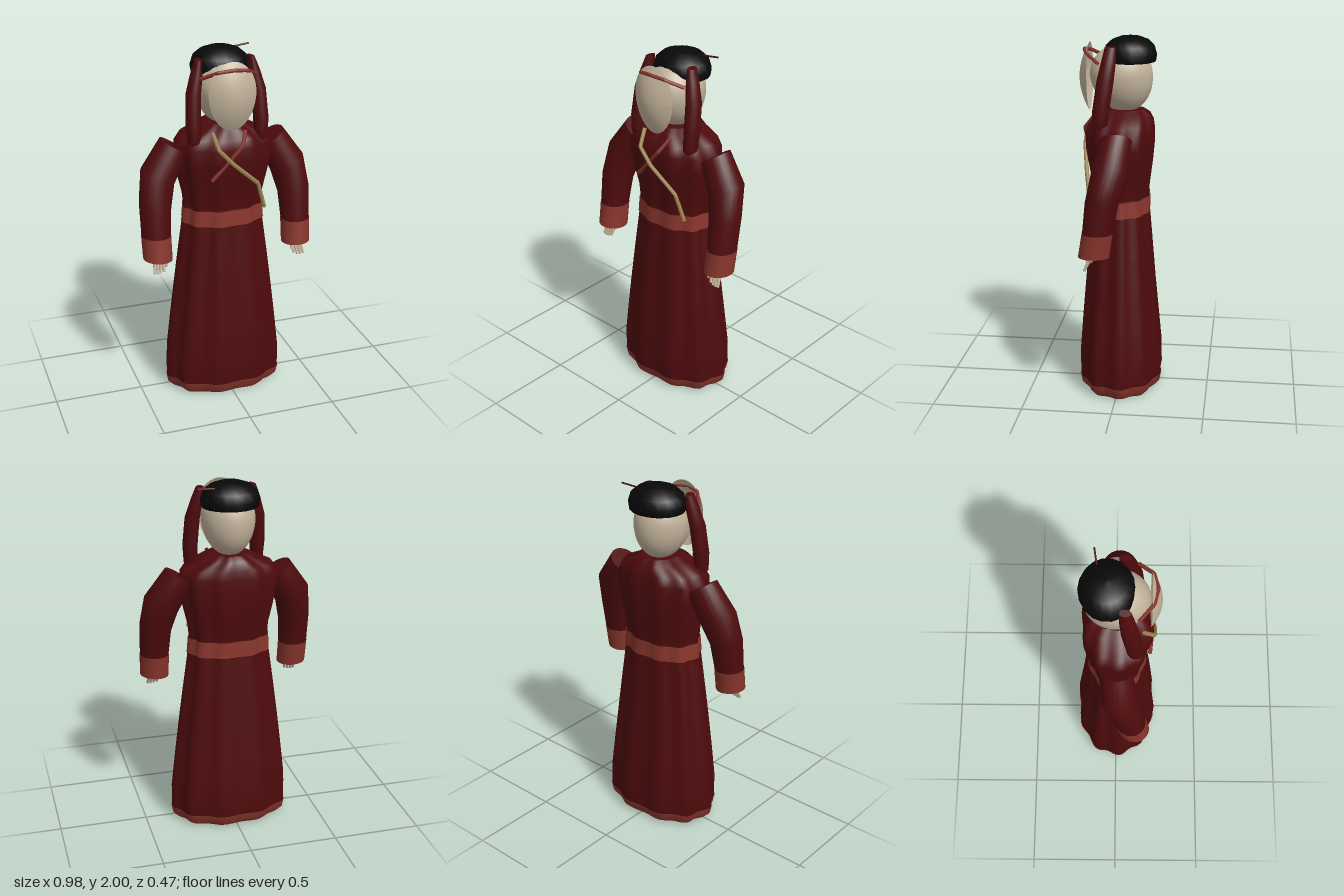
import * as THREE from 'three';

const mat = (name, color) => {
  const m = new THREE.MeshStandardMaterial({ color, side: THREE.DoubleSide });
  m.name = name;
  return m;
};

export function createModel() {
  const robeRed = mat('dark red cloth', 0x4e0b0c);
  const trimRed = mat('light red trim', 0x88352c);
  const skin = mat('pale skin', 0xc2b29a);
  const black = mat('black hair', 0x080808);
  const gold = mat('gold trim', 0xa08550);

  const model = new THREE.Group();
  model.name = 'robedFigure';
  const add = (name, geo, material, parent = model) => {
    const mesh = new THREE.Mesh(geo, material);
    mesh.name = name;
    parent.add(mesh);
    return mesh;
  };

  // Skin a list of closed rings (bottom to top), with optional flat end caps
  const loft = (rings, capStart = false, capEnd = false) => {
    const n = rings[0].length, pos = [], idx = [];
    rings.forEach(r => r.forEach(p => pos.push(...p)));
    for (let r = 0; r < rings.length - 1; r++) for (let c = 0; c < n; c++) {
      const a = r * n + c, d = r * n + (c + 1) % n;
      idx.push(a, a + n, d, d, a + n, d + n);
    }
    const cap = (ring, flip) => {
      const base = pos.length / 3;
      const mid = [0, 1, 2].map(k => ring.reduce((s, p) => s + p[k], 0) / n);
      pos.push(...mid);
      ring.forEach(p => pos.push(...p));
      for (let c = 0; c < n; c++) {
        const a = base + 1 + c, b = base + 1 + (c + 1) % n;
        flip ? idx.push(base, b, a) : idx.push(base, a, b);
      }
    };
    if (capStart) cap(rings[0], false);
    if (capEnd) cap(rings[rings.length - 1], true);
    const g = new THREE.BufferGeometry();
    g.setAttribute('position', new THREE.Float32BufferAttribute(pos, 3));
    g.setIndex(idx);
    g.computeVertexNormals();
    return g;
  };

  // Robe cross-section: slightly squared ellipse with soft vertical folds
  const robeRing = ([y, rx, zf, zb], grow = 0) => {
    const ring = [], n = 80;
    for (let i = 0; i < n; i++) {
      const t = i / n * Math.PI * 2, c = Math.cos(t), s = Math.sin(t);
      const fold = 0.968 + 0.034 * Math.cos(10 * t - 5.4);
      const px = Math.sign(c) * Math.abs(c) ** 0.94, pz = Math.sign(s) * Math.abs(s) ** 0.94;
      ring.push([px * (rx * fold + grow), y, pz * ((s > 0 ? zf : zb) * fold + grow)]);
    }
    return ring;
  };
  const robe = (list, grow) => list.map(r => robeRing(r, grow));

  add('skirt', loft(robe([
    [0.002, 0.312, 0.202, 0.202], [0.025, 0.336, 0.226, 0.226],
    [0.07, 0.345, 0.235, 0.235], [0.2, 0.345, 0.24, 0.235], [0.4, 0.322, 0.225, 0.215],
    [0.6, 0.297, 0.208, 0.195], [0.8, 0.27, 0.19, 0.178], [1.03, 0.237, 0.168, 0.158],
    [1.13, 0.228, 0.16, 0.152],
  ])), robeRed);
  add('skirtHem', loft(robe([
    [0, 0.315, 0.205, 0.205], [0.025, 0.34, 0.23, 0.23], [0.07, 0.349, 0.239, 0.239],
  ])), trimRed);
  add('torso', loft(robe([
    [1.12, 0.228, 0.16, 0.152], [1.2, 0.236, 0.165, 0.162], [1.3, 0.26, 0.182, 0.175],
    [1.4, 0.28, 0.2, 0.184], [1.48, 0.282, 0.202, 0.184], [1.53, 0.245, 0.185, 0.178],
    [1.575, 0.15, 0.15, 0.16], [1.6, 0.1, 0.11, 0.125],
  ]), false, true), robeRed);
  add('belt', loft(robe([[1.03, 0.237, 0.168, 0.158], [1.12, 0.229, 0.162, 0.154]], 0.005)), trimRed);

  // Straight-sided cords laid across the chest
  const cord = (name, points, radius, material, sides = 6) => {
    const path = new THREE.CurvePath();
    const v = points.map(p => new THREE.Vector3(...p));
    for (let i = 1; i < v.length; i++) path.add(new THREE.LineCurve3(v[i - 1], v[i]));
    return add(name, new THREE.TubeGeometry(path, 40, radius, sides), material);
  };
  cord('goldLapelTrim', [[-0.1, 1.575, 0.145], [-0.08, 1.49, 0.202], [0, 1.405, 0.206],
    [0.15, 1.27, 0.176], [0.195, 1.12, 0.155]], 0.012, gold);
  cord('redLapelTrim', [[0.085, 1.57, 0.145], [0.05, 1.5, 0.2], [-0.115, 1.315, 0.182]], 0.011, trimRed);

  // Sleeves: each ring is [outer x, outer y, inner x, inner y, z, z radius]
  const sleeveRing = (s, [ox, oy, ix, iy, z, rz]) => {
    const ring = [], cx = (ox + ix) / 2, cy = (oy + iy) / 2, n = 24;
    for (let i = 0; i < n; i++) {
      const t = i / n * Math.PI * 2, c = Math.cos(t);
      ring.push([s * (cx + c * (ox - cx)), cy + c * (oy - cy), z + s * Math.sin(t) * rz]);
    }
    return ring;
  };
  const cuffRings = [[0.487, 0.875, 0.325, 0.865, 0.105, 0.084], [0.49, 1.005, 0.325, 1, 0.085, 0.083]];
  const armRings = [
    [0.488, 1, 0.327, 1, 0.085, 0.081], [0.49, 1.19, 0.315, 1.15, 0.06, 0.09],
    [0.465, 1.365, 0.285, 1.27, 0.02, 0.1], [0.35, 1.525, 0.2, 1.43, 0, 0.085],
  ];
  const wrapRings = [
    [0.205, 1.495, 0.17, 1.495, 0.105, 0.02], [0.225, 1.52, 0.15, 1.52, 0.1, 0.042],
    [0.232, 1.62, 0.15, 1.61, 0.093, 0.046], [0.222, 1.78, 0.142, 1.77, 0.07, 0.046],
    [0.192, 1.88, 0.128, 1.86, 0.055, 0.04], [0.165, 1.95, 0.128, 1.955, 0.045, 0.03],
  ];

  for (const s of [1, -1]) {
    const side = s > 0 ? 'left' : 'right';
    add(side + 'Sleeve', loft(armRings.map(r => sleeveRing(s, r)), false, true), robeRed);
    add(side + 'Cuff', loft(cuffRings.map(r => sleeveRing(s, r)), true), trimRed);
    // Cloth-wrapped lock hanging beside the face
    add(side + 'HairWrap', loft(wrapRings.map(r => sleeveRing(s, r)), true, true), robeRed);

    // Hand with four tapered fingers and a thumb
    const hand = new THREE.Group();
    hand.name = side + 'Hand';
    model.add(hand);
    const palm = add('palm', new THREE.SphereGeometry(1, 12, 8), skin, hand);
    palm.scale.set(0.04, 0.035, 0.02);
    palm.position.set(s * 0.405, 0.868, 0.122);
    [0.38, 0.398, 0.416, 0.433].forEach((x, i) => {
      const f = add('finger', new THREE.CylinderGeometry(0.011, 0.007, [0.06, 0.075, 0.08, 0.075][i], 8), skin, hand);
      f.position.set(s * x, 0.831, 0.137);
      f.rotation.set(-0.4, 0, s * 0.15);
    });
    const thumb = add('thumb', new THREE.CylinderGeometry(0.011, 0.007, 0.05, 8), skin, hand);
    thumb.position.set(s * 0.37, 0.855, 0.142);
    thumb.rotation.set(-0.4, 0, -s * 0.1);
  }

  // Head: flatter crown under the hair, slight taper toward the chin
  const headGeo = new THREE.SphereGeometry(1, 32, 20);
  const hp = headGeo.attributes.position;
  for (let i = 0; i < hp.count; i++) {
    const y = hp.getY(i), k = y < 0 ? 1 + 0.04 * y : 1;
    hp.setXYZ(i, hp.getX(i) * 0.147 * k, 1.785 + y * (y < 0 ? 0.203 : 0.168),
      hp.getZ(i) * 0.173 * k + 0.005 + Math.min(y, 0) * 0.02);
  }
  headGeo.computeVertexNormals();
  add('head', headGeo, skin);

  // Shallow egg-shaped face plate in front of the head
  const maskGeo = new THREE.RingGeometry(0.001, 1, 32, 8);
  const mp = maskGeo.attributes.position;
  for (let i = 0; i < mp.count; i++) {
    const x = mp.getX(i), y = mp.getY(i);
    mp.setXYZ(i, x * 0.132 * (1 + 0.08 * y), 1.775 + y * 0.187, 0.178 + 0.055 * (1 - x * x - y * y));
  }
  maskGeo.computeVertexNormals();
  add('facePlate', maskGeo, skin);

  cord('browBand', [[-0.155, 1.865, 0.112], [-0.082, 1.912, 0.187], [0, 1.924, 0.207],
    [0.082, 1.912, 0.187], [0.155, 1.865, 0.112]], 0.01, trimRed);

  // Hair cap and pin
  const capProfile = [[0.001, 1.862], [0.156, 1.862], [0.162, 1.9], [0.148, 1.945], [0.11, 1.977],
    [0.06, 1.994], [0.001, 2]].map(p => new THREE.Vector2(...p));
  const cap = add('hairCap', new THREE.LatheGeometry(capProfile, 18), black);
  cap.scale.z = 0.9;
  cap.position.z = -0.044;
  cord('hairPin', [[0.07, 1.968, -0.09], [0.19, 1.978, -0.108]], 0.005, robeRed);

  return model;
}
